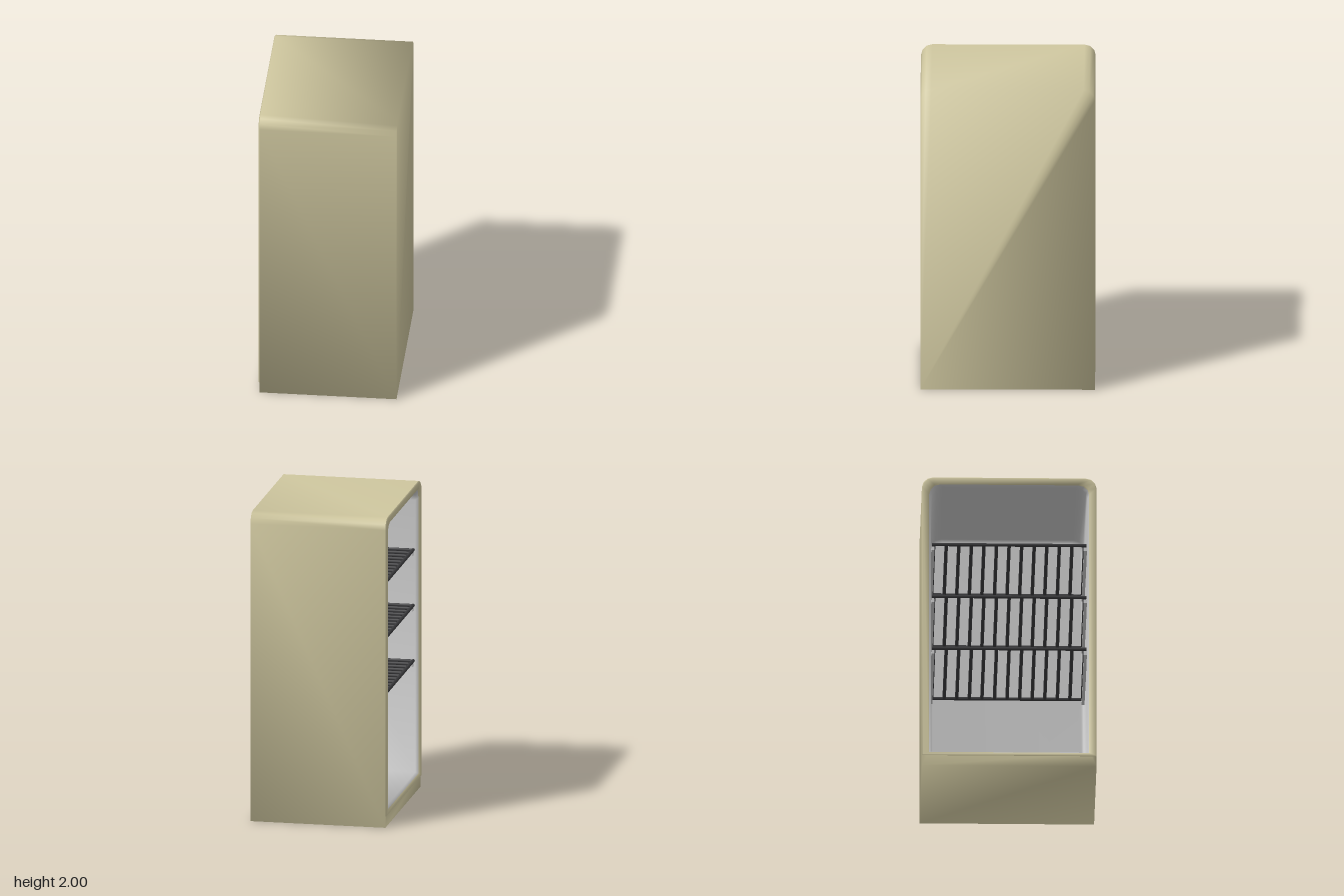
import * as THREE from 'three';

const X = 0.437, HALF_Z = 0.55, HEIGHT = 2;

// One closed cross-section: square at the bottom, rounded at the top
function outline(x, inset, bottom) {
  const w = HALF_Z - inset, top = HEIGHT - inset, r = 0.07, steps = 3;
  const pts = [[x, bottom, w], [x, bottom, -w]];
  for (const side of [-1, 1]) {
    for (let i = 0; i <= steps; i++) {
      const t = (side < 0 ? i : steps - i) / steps * Math.PI / 2;
      pts.push([x, top - r + r * Math.sin(t), side * (w - r + r * Math.cos(t))]);
    }
  }
  return pts;
}

// Join cross-sections into a smooth skin, with optional end caps
function loft(loops, capStart, capEnd) {
  const n = loops[0].length, index = [];
  for (let k = 0; k < loops.length - 1; k++) {
    for (let i = 0; i < n; i++) {
      const j = (i + 1) % n;
      const a = k * n + i, b = k * n + j, c = b + n, d = a + n;
      index.push(a, d, b, b, d, c);
    }
  }
  const last = (loops.length - 1) * n;
  for (let i = 1; i < n - 1; i++) {
    if (capStart) index.push(0, i, i + 1);
    if (capEnd) index.push(last, last + i + 1, last + i);
  }
  const g = new THREE.BufferGeometry();
  g.setAttribute('position', new THREE.Float32BufferAttribute(loops.flat(2), 3));
  g.setIndex(index);
  g.computeVertexNormals();
  return g;
}

export function createModel() {
  const model = new THREE.Group();
  model.name = 'openCabinet';
  const shell = new THREE.MeshStandardMaterial({ color: 0xd0c8a0, side: THREE.DoubleSide });
  const inner = new THREE.MeshStandardMaterial({ color: 0xcccccc, side: THREE.DoubleSide });
  const wire = new THREE.MeshStandardMaterial({ color: 0x3a3a3c });

  const add = (parent, name, geometry, material, x = 0, y = 0, z = 0) => {
    const mesh = new THREE.Mesh(geometry, material);
    mesh.name = name;
    mesh.position.set(x, y, z);
    parent.add(mesh);
    return mesh;
  };

  // Outer cabinet, open on the -x side
  add(model, 'cabinet', loft([
    outline(X, 0, 0),
    outline(-X + 0.007, 0, 0),
    outline(-X + 0.007, 0.04, 0.09),
  ], true, false), shell);

  // Slightly raised frame around the opening
  add(model, 'openingFrame', loft([
    outline(-X + 0.007, 0, 0.07),
    outline(-X, 0.006, 0.075),
    outline(-X, 0.042, 0.09),
    outline(-X + 0.025, 0.05, 0.1),
  ], false, false), shell);

  // Pale lining
  add(model, 'liner', loft([
    outline(-X + 0.012, 0.046, 0.095),
    outline(-X + 0.03, 0.058, 0.105),
    outline(0.36, 0.062, 0.11),
    outline(0.38, 0.08, 0.13),
  ], false, true), inner);

  // Wire racks with their side ledges
  const r = 0.011, x0 = -0.395, x1 = 0.355, halfZ = 0.475, slats = 13;
  const slat = new THREE.CylinderGeometry(r, r, x1 - x0, 8).rotateZ(Math.PI / 2);
  const bar = new THREE.CylinderGeometry(r, r, 2 * halfZ + 2 * r, 8).rotateX(Math.PI / 2);
  const ledge = new THREE.BoxGeometry(x1 - x0, 0.025, 0.02);
  for (const y of [0.83, 1.19, 1.55]) {
    const rack = new THREE.Group();
    rack.name = 'rack';
    rack.position.y = y;
    for (let i = 0; i < slats; i++) {
      add(rack, 'rackSlat', slat, wire, (x0 + x1) / 2, 0, halfZ * (2 * i / (slats - 1) - 1));
    }
    for (const x of [x0, x1]) add(rack, 'rackEndBar', bar, wire, x, 0, 0);
    for (const s of [-1, 1]) add(rack, 'rackLedge', ledge, inner, (x0 + x1) / 2, -0.026, s * 0.48);
    model.add(rack);
  }
  return model;
}
